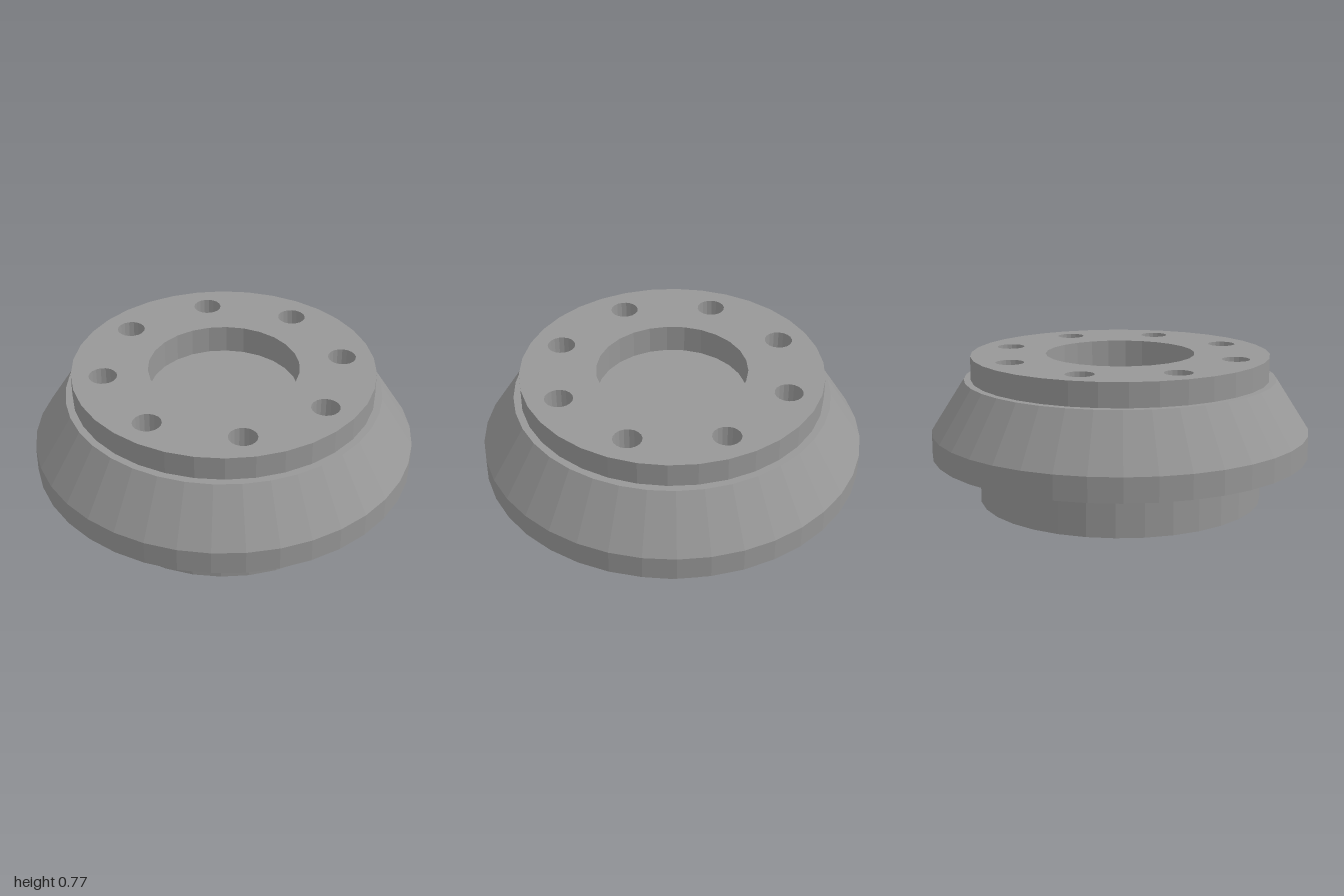
import * as THREE from 'three';

const material = new THREE.MeshStandardMaterial({ color: 0x979797, flatShading: true });

// Faceted solid of revolution with a corner on the +x axis
function turned(name, profile, sides) {
  const points = profile.map(([r, y]) => new THREE.Vector2(r, y));
  const geometry = new THREE.LatheGeometry(points, sides, Math.PI / 2).toNonIndexed();
  geometry.computeVertexNormals();
  const mesh = new THREE.Mesh(geometry, material);
  mesh.name = name;
  return mesh;
}

// Corners of a regular polygon
function ring(r, sides, cx = 0, cy = 0) {
  return Array.from({ length: sides }, (_, i) => {
    const a = (i / sides) * Math.PI * 2;
    return new THREE.Vector2(cx + r * Math.cos(a), cy + r * Math.sin(a));
  });
}

export function createModel() {
  const group = new THREE.Group();
  group.name = 'boltedHub';
  const top = 0.775, shoulder = 0.65, floor = 0.625;
  const discR = 0.788, discSides = 34;
  const boreR = 0.393, boreSides = 26;
  const boltR = 0.073, boltSides = 18, boltCircle = 0.625;

  // Lower spigot with closed underside
  group.add(turned('base', [[0, 0], [0.752, 0], [0.752, 0.251]], 33));

  // Wide flange: flat underside, short rim, tapered side, narrow ledge
  group.add(turned('flange',
    [[0.73, 0.251], [1, 0.251], [1, 0.376], [0.825, shoulder], [0.77, shoulder]], 38));

  // Raised disc on top
  group.add(turned('discRim', [[discR, shoulder], [discR, top]], discSides));
  const face = new THREE.Shape(ring(discR, discSides));
  face.holes.push(new THREE.Path(ring(boreR, boreSides)));

  // Central recess
  group.add(turned('centreRecess', [[boreR, top], [boreR, floor], [0, floor]], boreSides));

  // Eight blind bolt holes
  for (let i = 0; i < 8; i++) {
    const a = (i / 8) * Math.PI * 2;
    const x = boltCircle * Math.cos(a), y = boltCircle * Math.sin(a);
    face.holes.push(new THREE.Path(ring(boltR, boltSides, x, y)));
    const hole = turned('boltHole', [[boltR, top], [boltR, floor], [0, floor]], boltSides);
    hole.position.set(x, 0, -y);
    group.add(hole);
  }

  // Pierced top face
  const discFace = new THREE.Mesh(new THREE.ShapeGeometry(face), material);
  discFace.name = 'discFace';
  discFace.rotation.x = -Math.PI / 2;
  discFace.position.y = top;
  group.add(discFace);

  return group;
}
